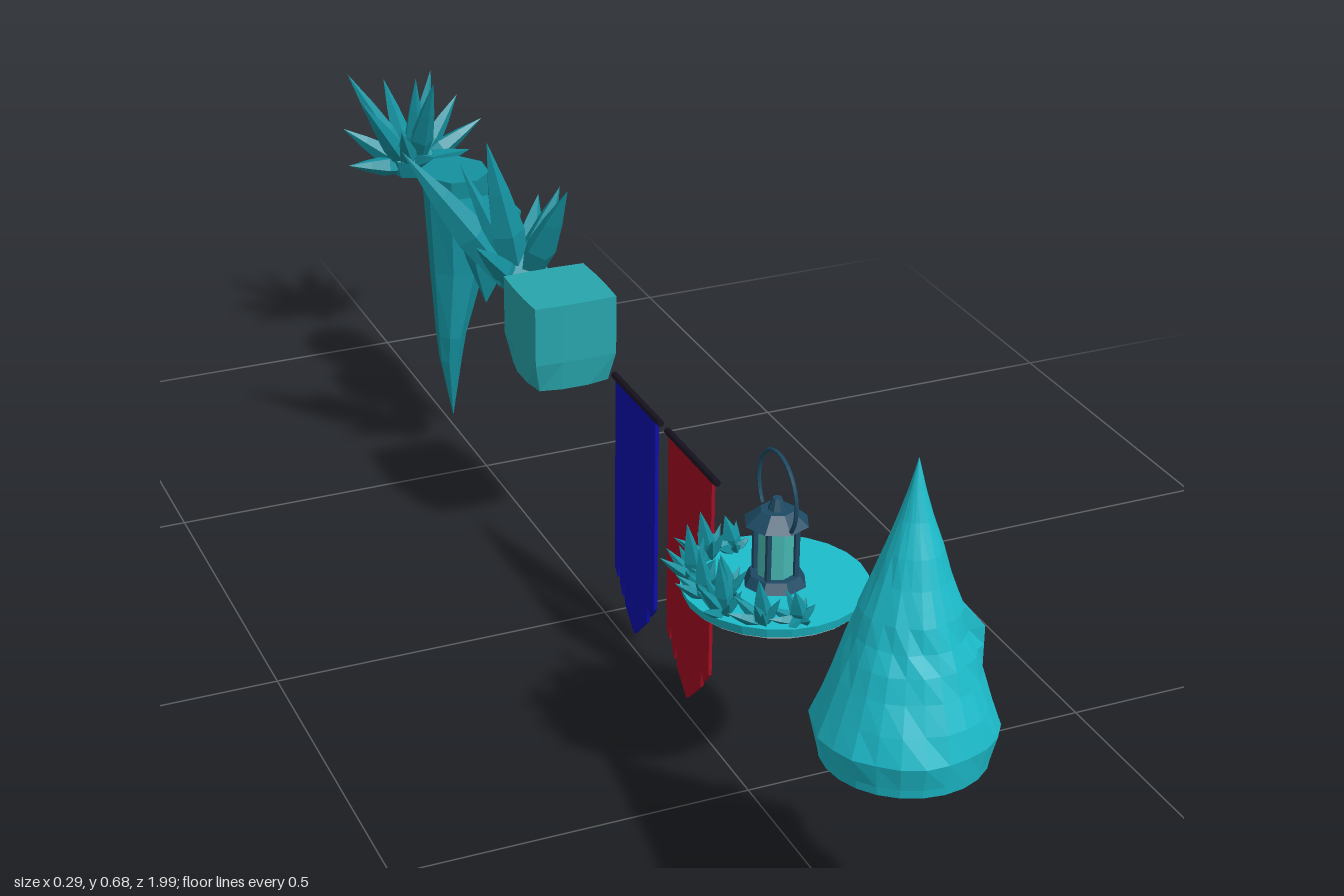
import * as THREE from 'three';

const mat = (color, extra = {}) => new THREE.MeshStandardMaterial({ color, flatShading: true, ...extra });
const TENT = mat(0x1cbccb), ICE = mat(0x14919f), BLOCK = mat(0x27a5ac), DARK = mat(0x1d4a63),
  GLASS = mat(0x45b5b0), GREY = mat(0xcccccc), GOLD = mat(0xc08a35), ROD = mat(0x17121f),
  RED = mat(0xa30d24), BLUE = mat(0x0c0eae);

function add(parent, name, geometry, material, x = 0, y = 0, z = 0) {
  const mesh = new THREE.Mesh(geometry, material);
  mesh.name = name;
  mesh.position.set(x, y, z);
  parent.add(mesh);
  return mesh;
}

function group(parent, name) {
  const g = new THREE.Group();
  g.name = name;
  parent.add(g);
  return g;
}

// Small seeded generator for repeatable variation
function seeded(seed) {
  return () => (seed = (seed * 16807) % 2147483647) / 2147483647;
}

// Skin over rings listed bottom to top: [centreX, y, centreZ, radiusX, radiusZ]
function loft(rings, sides, phase = 0) {
  const geo = new THREE.LatheGeometry(rings.map(r => new THREE.Vector2(1, r[1])), sides);
  const p = geo.attributes.position;
  for (let i = 0; i < p.count; i++) {
    const [cx, y, cz, rx, rz] = rings[i % rings.length];
    const a = phase + Math.floor(i / rings.length) / sides * Math.PI * 2;
    p.setXYZ(i, cx + rx * Math.sin(a), y, cz + rz * Math.cos(a));
  }
  geo.computeVertexNormals();
  return geo;
}

// Faceted crystal from a base point to a tip
function spike(parent, from, to, radius, sides = 5) {
  const a = new THREE.Vector3(...from), d = new THREE.Vector3(...to).sub(a), h = d.length();
  const profile = [[0, 0], [0.7, 0], [1, 0.35], [0.62, 0.65], [0, 1]];
  const geo = new THREE.LatheGeometry(profile.map(([r, t]) => new THREE.Vector2(r * radius, t * h)), sides);
  const mesh = add(parent, 'crystalSpike', geo, ICE, ...from);
  mesh.quaternion.setFromUnitVectors(new THREE.Vector3(0, 1, 0), d.normalize());
}

// Pointed hut with an upright doorway facing +x
function hut(root) {
  const profile = [[0, 0], [0.102, 0], [0.104, 0.012], [0.112, 0.045], [0.1, 0.08], [0.088, 0.115],
    [0.078, 0.145], [0.068, 0.17], [0.06, 0.2], [0.045, 0.24], [0.034, 0.275], [0.02, 0.315], [0.01, 0.35], [0, 0.39]];
  const sides = 24, n = profile.length, rand = seeded(7);
  const geo = new THREE.LatheGeometry(profile.map(([r, y]) => new THREE.Vector2(r, y)), sides);
  const p = geo.attributes.position;
  const wobble = Array.from({ length: sides * n }, () => 0.97 + 0.06 * rand());
  for (let i = 0; i < p.count; i++) {
    const ring = i % n, k = Math.floor(i / n) % sides;
    if (ring > 2 && ring < n - 1) {
      p.setX(i, p.getX(i) * wobble[k * n + ring]);
      p.setZ(i, p.getZ(i) * wobble[k * n + ring]);
    }
    // Flatten the wall behind the doorway
    const fromDoor = Math.abs(k - sides / 4);
    if (ring > 0 && ring < 8 && fromDoor <= 1) p.setXYZ(i, 0.08, p.getY(i), (sides / 4 - k) * 0.033);
  }
  geo.computeVertexNormals();
  add(group(root, 'hut'), 'hutShell', geo, TENT, 0.018, 0.29, 0.88);
}

// Round tray with a lantern and crystal clumps along its back
function lanternTray(root) {
  const g = group(root, 'lanternTray'), cx = 0.02, cz = 0.52;
  add(g, 'trayDisc', new THREE.CylinderGeometry(0.122, 0.118, 0.014, 24), TENT, cx, 0.32, cz);
  add(g, 'trayUnderside', new THREE.CylinderGeometry(0.116, 0.116, 0.003, 24), GREY, cx, 0.3125, cz);

  const l = group(g, 'lantern');
  l.position.set(cx, 0, cz);
  add(l, 'lanternBase', new THREE.CylinderGeometry(0.034, 0.042, 0.014, 8), DARK, 0, 0.334, 0);
  add(l, 'lanternGlass', new THREE.CylinderGeometry(0.024, 0.024, 0.075, 8), GLASS, 0, 0.378, 0);
  for (let i = 0; i < 4; i++) {
    const a = Math.PI * (i + 0.5) / 2;
    add(l, 'lanternPost', new THREE.BoxGeometry(0.006, 0.08, 0.006), DARK, 0.028 * Math.sin(a), 0.378, 0.028 * Math.cos(a));
  }
  add(l, 'lanternCap', new THREE.CylinderGeometry(0.022, 0.043, 0.018, 8), DARK, 0, 0.423, 0);
  add(l, 'lanternKnob', new THREE.CylinderGeometry(0.006, 0.012, 0.016, 8), DARK, 0, 0.44, 0);
  const handle = add(l, 'lanternHandle', new THREE.TorusGeometry(0.055, 0.0028, 6, 28, Math.PI * 1.45), DARK, 0, 0.455, 0);
  handle.rotation.order = 'YXZ';
  handle.rotation.set(0, Math.PI / 2, -Math.PI * 0.225);

  const rand = seeded(31);
  const clumps = [[-0.035, 0.605, 0.07], [-0.03, 0.43, 0.07], [-0.07, 0.565, 0.085], [-0.07, 0.475, 0.085],
    [-0.075, 0.52, 0.075], [0.01, 0.615, 0.05], [0.01, 0.42, 0.05], [-0.045, 0.52, 0.06]];
  for (const [x, z, h] of clumps) {
    const y = 0.322, c = group(g, 'crystalClump');
    spike(c, [x, y, z], [x - 0.012, y + h, z + (z - cz) * 0.08], 0.012, 4);
    for (let i = 0; i < 7; i++) {
      const a = (i + rand() * 0.6) / 7 * Math.PI * 2, reach = 0.026 + 0.014 * rand();
      const tipZ = THREE.MathUtils.clamp(z + reach * Math.cos(a), 0.395, 0.645);
      spike(c, [x, y, z], [x - 0.015 + reach * Math.sin(a), y + h * (0.3 + 0.4 * rand()), tipZ], 0.008, 4);
    }
  }
}

// Hanging banner facing +x; drawn in its own plane, then turned
function banner(root, name, z, cloth, lines) {
  const g = group(root, name);
  g.position.set(0.016, 0, z);
  g.rotation.y = Math.PI / 2;
  const outline = [[-0.072, 0.38], [-0.072, 0.078], [-0.055, 0.058], [-0.05, 0.072], [-0.046, 0.045], [0, 0],
    [0.034, 0.032], [0.037, 0.062], [0.043, 0.04], [0.052, 0.055], [0.056, 0.085], [0.061, 0.062], [0.072, 0.075], [0.072, 0.38]];
  const shape = new THREE.Shape(outline.map(([x, y]) => new THREE.Vector2(x, y)));
  add(g, 'bannerCloth', new THREE.ExtrudeGeometry(shape, { depth: 0.005, bevelEnabled: false }), cloth);
  const rod = add(g, 'bannerRod', new THREE.CylinderGeometry(0.005, 0.005, 0.166, 8), ROD, 0, 0.38, 0.003);
  rod.rotation.z = Math.PI / 2;
  for (const s of [-1, 1]) add(g, 'bannerTrim', new THREE.BoxGeometry(0.003, 0.28, 0.002), ROD, s * 0.06, 0.235, 0.0055);

  const stroke = (x1, y1, x2, y2) => {
    const len = Math.hypot(x2 - x1, y2 - y1);
    const m = add(g, 'goldStitch', new THREE.BoxGeometry(len, 0.0045, 0.002), GOLD, (x1 + x2) / 2, (y1 + y2) / 2, 0.0055);
    m.rotation.z = Math.atan2(y2 - y1, x2 - x1);
  };
  lines.forEach(path => path.slice(1).forEach((q, i) => stroke(...path[i], ...q)));
  for (const s of [-1, 1]) for (const k of [0, 1]) {
    stroke(s * (0.024 + k * 0.012), 0.146 + k * 0.008, s * (0.038 + k * 0.008), 0.158 + k * 0.014);
  }
}

const diamond = (w, h, y) => [[0, y + h], [w, y], [0, y - h], [-w, y], [0, y + h]];

// Rough block with its lower edges drawn in
function block(root) {
  const geo = new THREE.BoxGeometry(0.13, 0.136, 0.132, 3, 3, 3);
  const p = geo.attributes.position;
  for (let i = 0; i < p.count; i++) {
    const x = p.getX(i), y = p.getY(i), z = p.getZ(i);
    const corner = Math.abs(x) > 0.06 && Math.abs(z) > 0.06;
    const k = y < -0.06 ? (corner ? 0.83 : 0.93) : corner ? 0.97 : 1;
    p.setXYZ(i, x * k, y, z * k);
  }
  geo.computeVertexNormals();
  add(root, 'iceBlock', geo, BLOCK, 0.01, 0.373, -0.198);
}

function crystalCluster(root, name, base, size, radius, tips) {
  const g = group(root, name), [x, y, z] = base;
  add(g, 'clusterRoot', loft([[x, y, z, 0, 0], [x, y, z, size * 0.8, size * 0.8],
    [x, y + 0.03, z, size, size], [x, y + 0.07, z, 0, 0]], 7), ICE);
  for (const t of tips) {
    const start = [x + (t[0] - x) * 0.12, y + 0.012, z + (t[2] - z) * 0.12];
    spike(g, start, t, radius * (t[3] ?? 1));
  }
}

export function createModel() {
  const root = new THREE.Group();
  root.name = 'iceVillageSet';
  hut(root);
  lanternTray(root);

  banner(root, 'redBanner', 0.26, RED, [
    [[-0.037, 0.295], [0, 0.335], [0.037, 0.295]],
    [[-0.055, 0.275], [0, 0.208], [0.055, 0.275], [0.025, 0.255], [0, 0.243], [-0.025, 0.255], [-0.055, 0.275]],
  ]);
  banner(root, 'blueBanner', 0.072, BLUE, [diamond(0.055, 0.068, 0.265), diamond(0.032, 0.038, 0.265), diamond(0.01, 0.012, 0.265)]);

  block(root);
  crystalCluster(root, 'tallCrystalCluster', [0.02, 0.365, -0.385], 0.044, 0.024, [
    [-0.145, 0.585, -0.44, 1.15], [-0.035, 0.608, -0.375, 1.15], [0.06, 0.548, -0.29], [0.085, 0.515, -0.385],
    [0.075, 0.48, -0.45], [-0.065, 0.565, -0.41, 0.7], [-0.07, 0.46, -0.335, 0.8]]);

  // Hanging ice: one short and square, one long and faceted
  add(root, 'smallStalactite', loft([[0.01, 0.28, -0.515, 0, 0], [0.014, 0.345, -0.522, 0.034, 0.034],
    [0.017, 0.375, -0.525, 0.046, 0.046], [0.018, 0.44, -0.525, 0.059, 0.057], [0.018, 0.44, -0.525, 0, 0]], 4, Math.PI / 4), ICE);
  add(root, 'largeStalactite', loft([[0, 0.018, -0.657, 0, 0], [0, 0.12, -0.663, 0.018, 0.02], [0.003, 0.165, -0.667, 0.024, 0.03],
    [0.021, 0.275, -0.68, 0.045, 0.046], [0.023, 0.4, -0.685, 0.052, 0.056], [0.023, 0.44, -0.685, 0.054, 0.06],
    [0.023, 0.44, -0.685, 0, 0]], 8, 0.3), ICE);

  crystalCluster(root, 'wideCrystalCluster', [0.02, 0.362, -0.89], 0.045, 0.017, [
    [0.08, 0.45, -1.0], [0.14, 0.442, -0.88], [0.115, 0.47, -0.93], [0.03, 0.42, -0.79], [-0.095, 0.45, -0.9],
    [-0.085, 0.52, -0.83], [-0.065, 0.52, -0.96], [0, 0.5, -0.97], [0.03, 0.545, -0.8, 1.15], [0.02, 0.535, -0.86],
    [0.07, 0.52, -0.93], [-0.1, 0.4, -0.86], [0.1, 0.41, -0.83], [0.03, 0.385, -0.985], [-0.02, 0.46, -0.82]]);
  return root;
}
